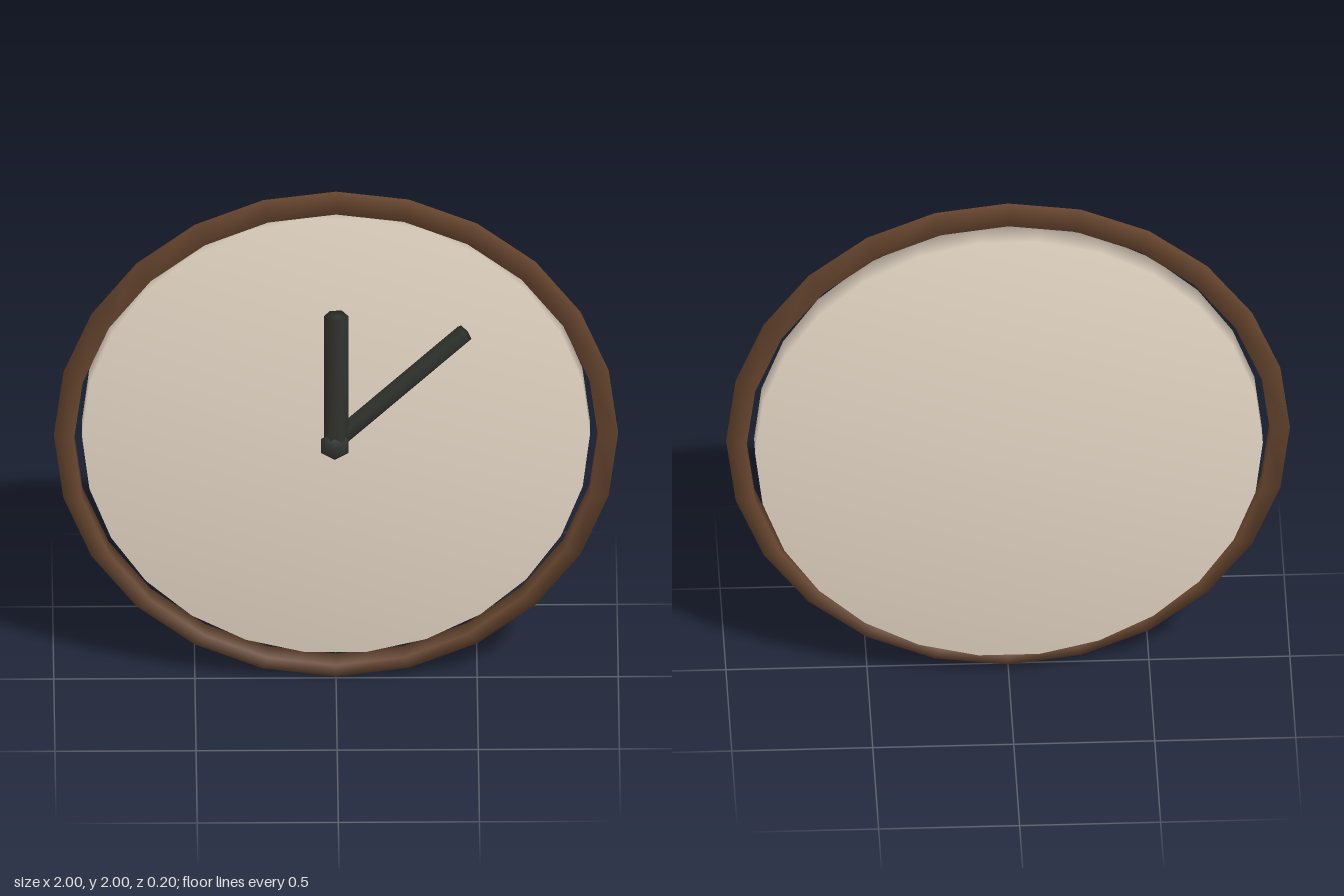
import * as THREE from 'three';
import { mergeVertices } from 'three/addons/utils/BufferGeometryUtils.js';

const paint = (color) => new THREE.MeshStandardMaterial({ color });

// Weld the seams so that the shading runs smoothly over the edges
function soften(geometry) {
  geometry.deleteAttribute('normal');
  geometry.deleteAttribute('uv');
  const welded = mergeVertices(geometry, 1e-4);
  welded.computeVertexNormals();
  return welded;
}

export function createModel() {
  const group = new THREE.Group();
  const brown = paint(0x68462f);
  const cream = paint(0xe6d8c6);
  const dark = paint(0x30342e);

  function add(name, geometry, material, x, y, z) {
    const mesh = new THREE.Mesh(geometry, material);
    mesh.name = name;
    mesh.position.set(x, y, z);
    group.add(mesh);
    return mesh;
  }

  // Rim: ring with a triangular section pointing outward
  add('rim', new THREE.TorusGeometry(0.953, 0.047, 3, 24), brown, 0, 1, -0.01);

  // Dial: thick disc set towards the back
  const disc = new THREE.CylinderGeometry(0.9, 0.9, 0.1, 26);
  disc.rotateX(Math.PI / 2).rotateZ(Math.PI / 2);
  add('dial', soften(disc), cream, 0, 1, -0.05);

  // Hands: six-sided rods starting at the centre of the dial
  function hand(name, length, radius, angle, z) {
    const rod = new THREE.CylinderGeometry(radius, radius, length, 6);
    rod.rotateY(Math.PI / 6).translate(0, length / 2, 0);
    add(name, soften(rod), dark, 0, 1, z).rotation.z = -angle;
  }
  hand('hourHand', 0.525, 0.043, 0, 0.055);
  hand('minuteHand', 0.633, 0.035, 0.802, 0.032);

  // Hub: small flattened knob over the hands
  const knob = new THREE.SphereGeometry(0.057, 6, 4);
  knob.rotateX(Math.PI / 2).rotateZ(Math.PI / 6).scale(1, 1, 0.47);
  add('hub', knob, dark, -0.005, 1, 0.073);

  return group;
}
